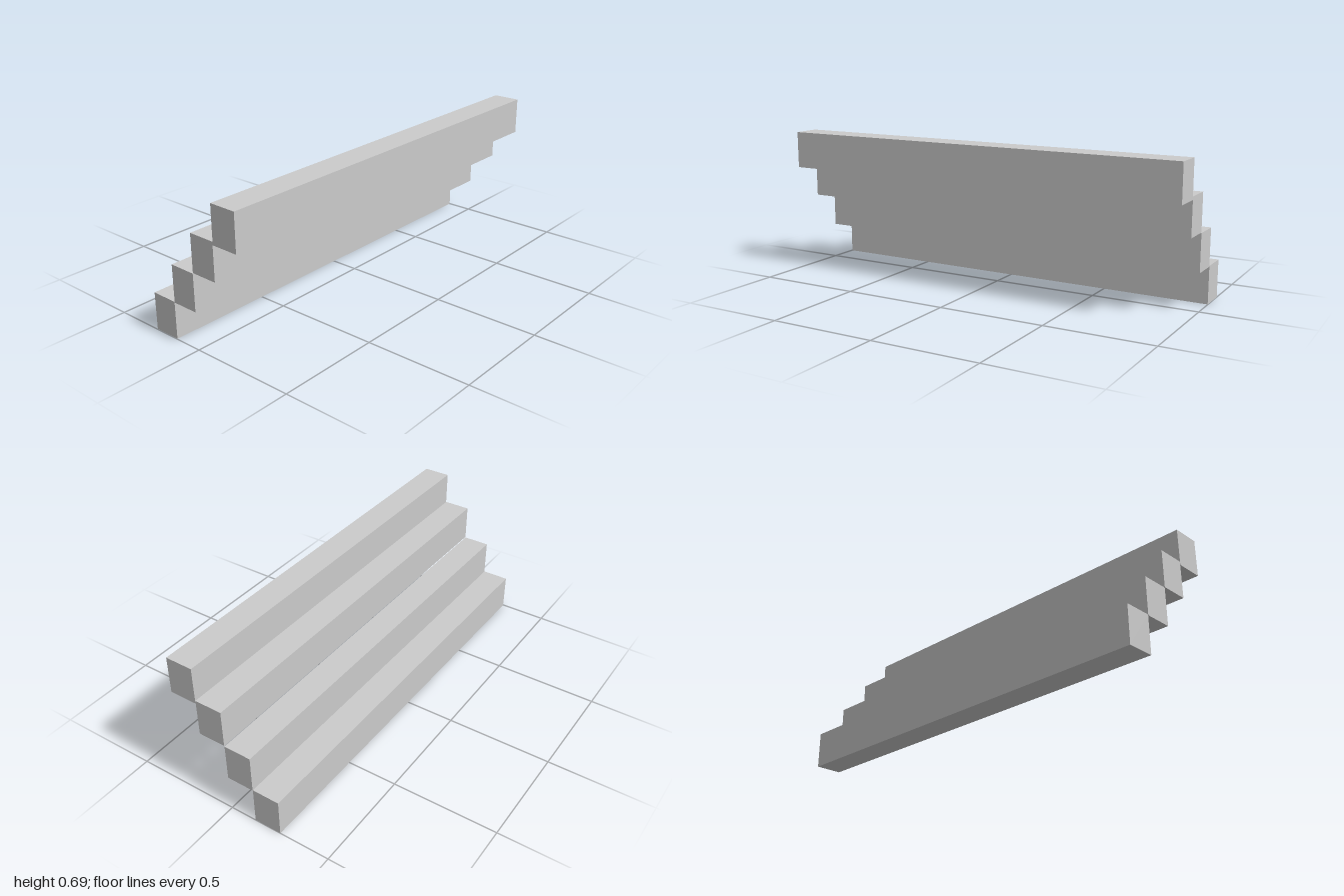
import * as THREE from 'three';

export function createModel() {
  const model = new THREE.Group();
  model.name = 'staircase';
  const material = new THREE.MeshStandardMaterial({ color: 0xcccccc, flatShading: true });

  // Four long step blocks climbing towards +x
  const width = 0.131, height = 0.176, length = 1.997;
  const bottoms = [0, 0.173, 0.352, 0.513];
  const geometry = new THREE.BoxGeometry(width, height, length);
  bottoms.forEach((bottom, i) => {
    const step = new THREE.Mesh(geometry, material);
    step.name = `step${i + 1}`;
    step.position.set((i - 1.5) * 0.1323, bottom + height / 2, 0);
    model.add(step);
  });

  // The whole flight is turned very slightly about the vertical
  model.rotation.y = -0.006;
  return model;
}
